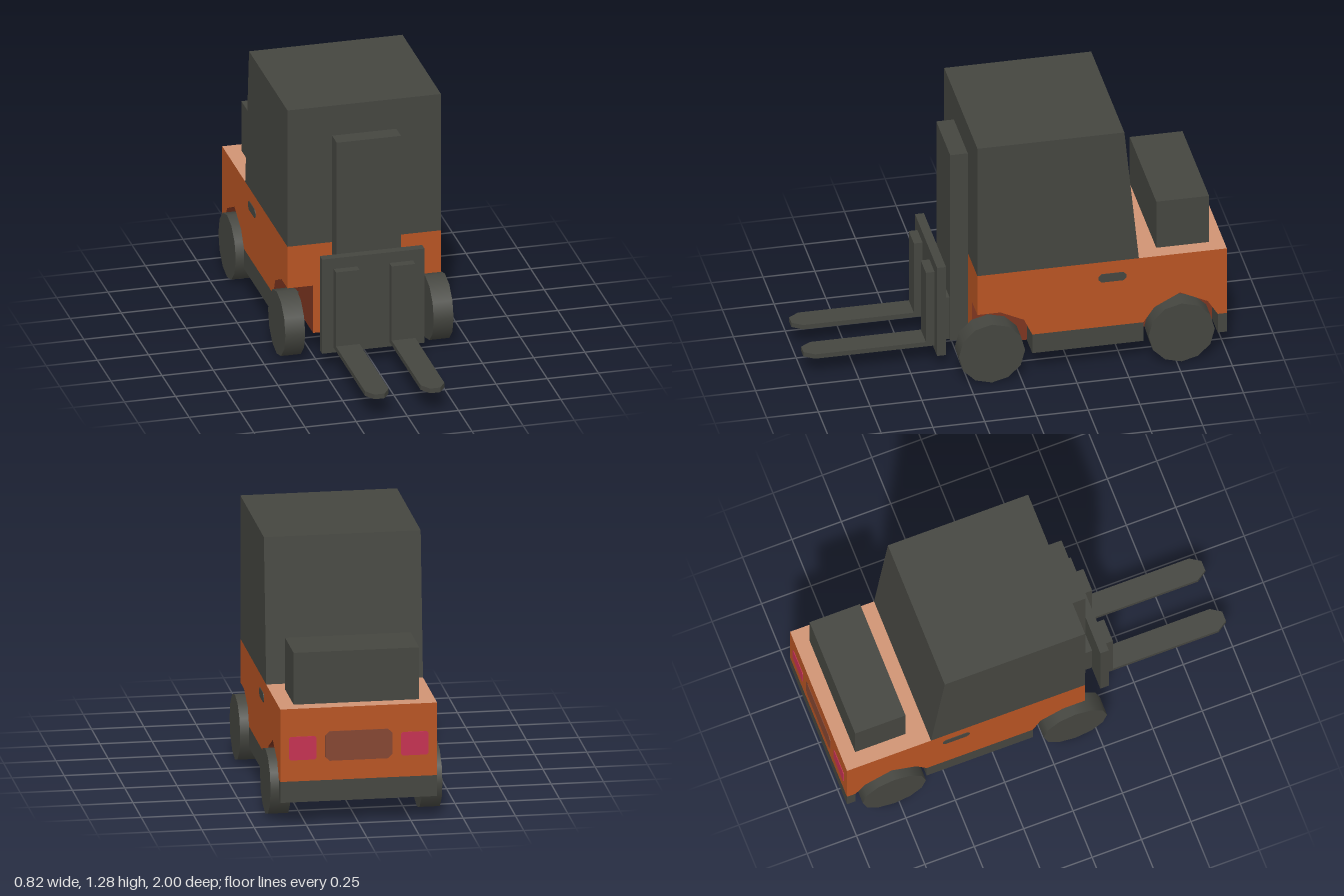
import * as THREE from 'three';

const mat = (name, color) => {
  const m = new THREE.MeshStandardMaterial({ color });
  m.name = name;
  return m;
};

export function createModel() {
  const root = new THREE.Group();
  root.name = 'forklift';
  const orange = mat('orange paint', 0xb85423);
  const peach = mat('light deck', 0xd09474);
  const brown = mat('wheel well brown', 0x7d3520);
  const dark = mat('dark grey', 0x454640);
  const red = mat('tail light red', 0xc43252);
  const grilleMat = mat('grille brown', 0x854631);

  const add = (name, geo, material) => {
    const m = new THREE.Mesh(geo, material);
    m.name = name;
    root.add(m);
    return m;
  };
  // Box given by its limits on each axis
  const box = (name, [x0, x1], [y0, y1], [z0, z1], material) => {
    const m = add(name, new THREE.BoxGeometry(x1 - x0, y1 - y0, z1 - z0), material);
    m.position.set((x0 + x1) / 2, (y0 + y1) / 2, (z0 + z1) / 2);
    return m;
  };
  const shapeOf = (pts) => new THREE.Shape(pts.map(([x, y]) => new THREE.Vector2(x, y)));
  // Side profile of [z, y] points, extruded across the full body width
  const W = 0.375;
  const profile = (name, pts, material) => {
    const g = new THREE.ExtrudeGeometry(shapeOf(pts), { depth: 2 * W, bevelEnabled: false });
    g.rotateY(-Math.PI / 2).translate(W, 0, 0);
    return add(name, g, material);
  };
  // Thin plate with cut corners, centred, facing z
  const plate = (name, w, h, c, material) => {
    const a = w / 2, b = h / 2;
    const s = shapeOf([[-a + c, -b], [a - c, -b], [a, -b + c], [a, b - c],
      [a - c, b], [-a + c, b], [-a, b - c], [-a, -b + c]]);
    const g = new THREE.ExtrudeGeometry(s, { depth: 0.006, bevelEnabled: false });
    return add(name, g.translate(0, 0, -0.003), material);
  };

  // Body shell: upper box, narrow core between the wells, side panels with arches
  box('upperBody', [-W, W], [0.36, 0.575], [-1, 0.205], [orange, orange, peach, brown, orange, orange]);
  box('bodyCore', [-0.25, 0.25], [0.115, 0.36], [-0.98, 0.205], [brown, brown, orange, dark, orange, orange]);
  profile('middlePanel', [[-0.597, 0.218], [-0.06, 0.218], [-0.02, 0.305], [0.094, 0.36],
    [-0.774, 0.36], [-0.65, 0.295]], [orange, brown]);
  profile('rearPanel', [[-0.956, 0.218], [-0.908, 0.295], [-0.774, 0.36], [-0.956, 0.36]], [orange, brown]);
  box('rearWall', [-W, W], [0.218, 0.36], [-1, -0.956], orange);
  box('middleSkirt', [-W, W], [0.115, 0.218], [-0.597, -0.06], dark);
  box('rearSkirt', [-W, W], [0.115, 0.218], [-1, -0.956], dark);

  // Cab and engine cover
  profile('cab', [[0.205, 0.575], [0.205, 1.28], [-0.505, 1.28], [-0.575, 0.575]], dark);
  box('engineCover', [-0.3, 0.3], [0.575, 0.83], [-0.93, -0.675], dark);

  // Mast and lifting carriage
  box('mast', [-0.157, 0.157], [0.1, 1.125], [0.205, 0.29], dark);
  box('carriageBracket', [-0.143, 0.143], [0.1, 0.33], [0.28, 0.335], dark);
  box('carriage', [-0.25, 0.25], [0.08, 0.567], [0.33, 0.373], dark);

  // Tapered prong outline seen from above
  const prong = new THREE.ExtrudeGeometry(
    shapeOf([[-0.058, -0.37], [-0.058, -0.95], [-0.025, -1], [0.025, -1], [0.058, -0.95], [0.058, -0.37]].reverse()),
    { depth: 0.024, bevelEnabled: false }
  ).rotateX(-Math.PI / 2);

  for (const s of [-1, 1]) {
    // Forks
    const x = s * 0.136;
    box('forkUpright', [x - 0.058, x + 0.058], [0.105, 0.512], [0.37, 0.415], dark);
    add('forkProng', prong, dark).position.set(x, 0.105, 0);

    // Wheels
    for (const z of [0.142, -0.774]) {
      const g = new THREE.CylinderGeometry(0.16, 0.16, 0.097, 12).rotateZ(Math.PI / 2);
      add(z > 0 ? 'frontWheel' : 'rearWheel', g, dark).position.set(s * 0.3625, 0.16, z);
    }

    // Door handles and tail lights
    const handle = plate('doorHandle', 0.135, 0.045, 0.015, dark);
    handle.rotation.y = Math.PI / 2;
    handle.position.set(s * W, 0.487, -0.447);
    plate('tailLight', 0.13, 0.115, 0.008, red).position.set(s * 0.268, 0.38, -1);
  }
  plate('rearGrille', 0.32, 0.145, 0.02, grilleMat).position.set(0, 0.385, -1);

  return root;
}
